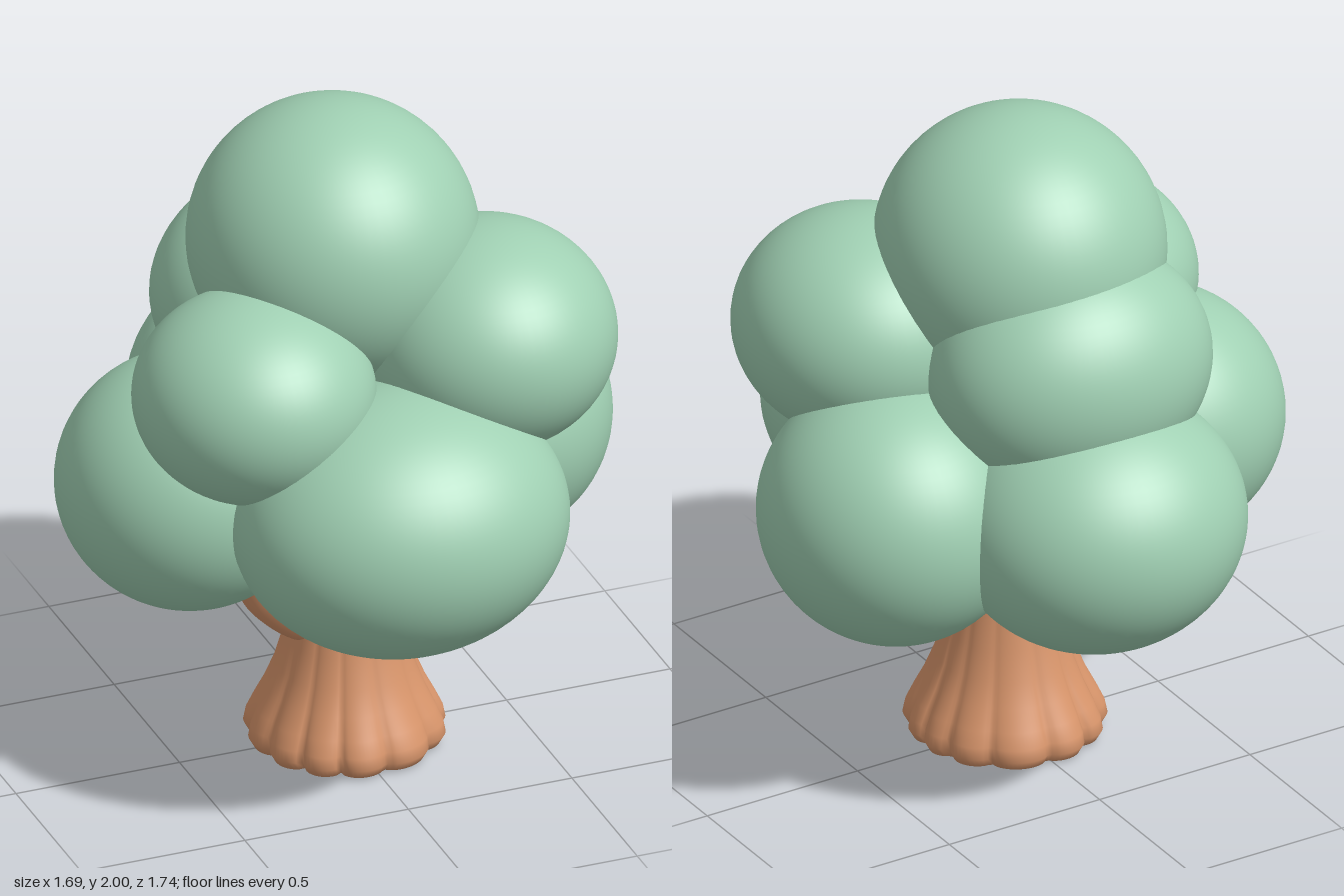
import * as THREE from 'three';
import { mergeVertices } from 'three/addons/utils/BufferGeometryUtils.js';

const foliageGreen = new THREE.MeshStandardMaterial({ color: 0xa0d0b3 });
foliageGreen.name = 'foliageGreen';
const barkBrown = new THREE.MeshStandardMaterial({ color: 0xd8956b });
barkBrown.name = 'barkBrown';

function addMesh(parent, name, geometry, material) {
  const mesh = new THREE.Mesh(geometry, material);
  mesh.name = name;
  parent.add(mesh);
  return mesh;
}

// Weld the seams of a reshaped geometry and give it smooth normals
function smooth(geometry) {
  geometry.deleteAttribute('uv');
  geometry.deleteAttribute('normal');
  const welded = mergeVertices(geometry, 1e-4);
  welded.computeVertexNormals();
  return welded;
}

// Flared trunk whose root lobes fade out with height
function trunkGeometry() {
  const profile = [
    [0, 0.005], [0.15, 0.005], [0.24, 0.005], [0.268, 0.012], [0.284, 0.04], [0.278, 0.075],
    [0.258, 0.12], [0.228, 0.18], [0.2, 0.25], [0.175, 0.34], [0.155, 0.44],
    [0.138, 0.54], [0.125, 0.66], [0.11, 0.85], [0, 0.95],
  ].map(([r, y]) => new THREE.Vector2(r, y));
  const geometry = new THREE.LatheGeometry(profile, 144);
  const pos = geometry.attributes.position;
  for (let i = 0; i < pos.count; i++) {
    const x = pos.getX(i), y = pos.getY(i), z = pos.getZ(i);
    const angle = Math.atan2(z, x);
    const lobe = Math.abs(Math.sin(6.5 * angle + 0.5 * Math.sin(2 * angle) + 0.4 * Math.sin(3 * angle)));
    const depth = 0.13 * Math.exp(-y / 0.16) + 0.015;
    const scale = 1 + depth * (Math.sqrt(lobe) - 0.85);
    pos.setXYZ(i, x * scale, y, z * scale * 1.03 + 0.015);
  }
  return smooth(geometry);
}

// Curved branch with a rounded tip
function addBranch(parent, name, points, radius) {
  const curve = new THREE.CatmullRomCurve3(points.map((p) => new THREE.Vector3(...p)));
  const branch = new THREE.Group();
  branch.name = name;
  addMesh(branch, name + 'Limb', new THREE.TubeGeometry(curve, 24, radius, 24), barkBrown);
  const tip = addMesh(branch, name + 'Tip', new THREE.SphereGeometry(radius, 24, 12), barkBrown);
  tip.position.copy(curve.getPoint(1));
  parent.add(branch);
}

export function createModel() {
  const tree = new THREE.Group();
  tree.name = 'tree';

  addMesh(tree, 'trunk', trunkGeometry(), barkBrown);
  addBranch(tree, 'leftBranch',
    [[0.06, 0.39, 0.03], [0.16, 0.44, 0.03], [0.23, 0.52, 0.03], [0.28, 0.68, 0.02]], 0.077);
  addBranch(tree, 'rightBranch',
    [[-0.06, 0.39, 0.03], [-0.16, 0.44, 0.03], [-0.235, 0.51, 0.03], [-0.27, 0.57, 0.03]], 0.075);

  // Foliage clumps: name, centre, radii
  const clumps = [
    ['topFoliage', [-0.015, 1.585, -0.04], [0.418, 0.415, 0.425]],
    ['middleLeftFoliage', [0.355, 1.33, 0.21], [0.372, 0.33, 0.385]],
    ['middleRightFoliage', [-0.36, 1.275, 0.22], [0.348, 0.305, 0.355]],
    ['middleBackFoliage', [-0.03, 1.315, -0.29], [0.425, 0.36, 0.35]],
    ['lowerFrontFoliage', [0, 0.915, 0.44], [0.49, 0.39, 0.43]],
    ['lowerLeftFoliage', [0.45, 0.9, -0.12], [0.392, 0.388, 0.4]],
    ['lowerRightFoliage', [-0.46, 0.905, -0.02], [0.387, 0.375, 0.385]],
    ['lowerBackFoliage', [-0.02, 0.895, -0.45], [0.435, 0.38, 0.42]],
  ];
  for (const [name, centre, radii] of clumps) {
    const clump = addMesh(tree, name, new THREE.SphereGeometry(1, 64, 40), foliageGreen);
    clump.position.set(...centre);
    clump.scale.set(...radii);
  }
  return tree;
}
